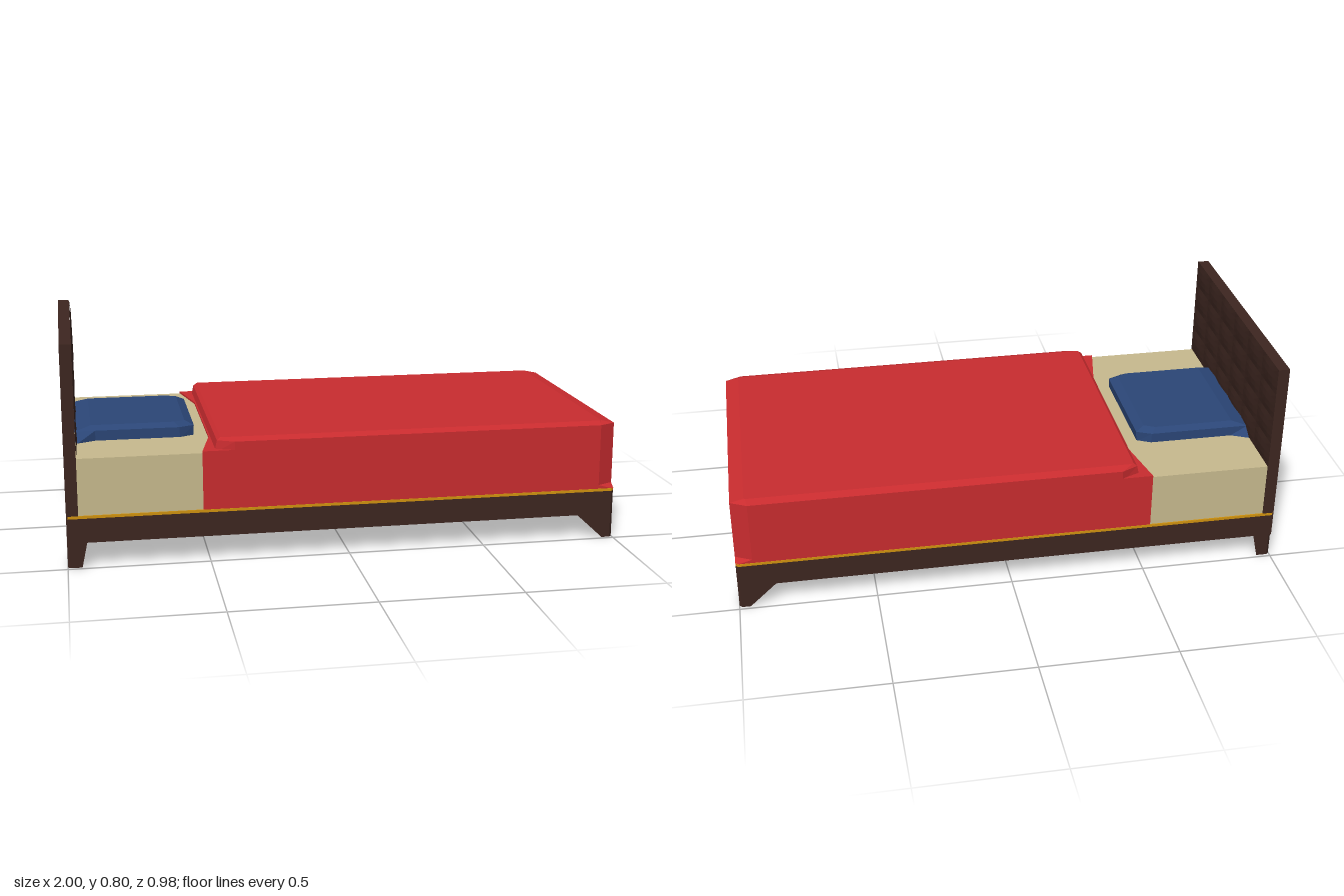
import * as THREE from 'three';

const paint = (color) => new THREE.MeshStandardMaterial({ color, flatShading: true });

// Solid skinned through a stack of closed outlines: [[y, [[x, z], ...]], ...], bottom to top
function loft(name, material, rings) {
  const pos = [];
  const n = rings[0][1].length;
  const pt = (r, i) => { const [x, z] = rings[r][1][i % n]; return [x, rings[r][0], z]; };
  const mid = (r) => {
    const c = rings[r][1].reduce((s, p) => [s[0] + p[0] / n, s[1] + p[1] / n], [0, 0]);
    return [c[0], rings[r][0], c[1]];
  };
  const last = rings.length - 1;
  for (let i = 0; i < n; i++) {
    for (let r = 0; r < last; r++) {
      const a = pt(r, i), b = pt(r, i + 1), c = pt(r + 1, i + 1), d = pt(r + 1, i);
      pos.push(...a, ...b, ...c, ...a, ...c, ...d);
    }
    pos.push(...mid(last), ...pt(last, i), ...pt(last, i + 1));
    pos.push(...mid(0), ...pt(0, i + 1), ...pt(0, i));
  }
  const geo = new THREE.BufferGeometry();
  geo.setAttribute('position', new THREE.Float32BufferAttribute(pos, 3));
  geo.computeVertexNormals();
  const mesh = new THREE.Mesh(geo, material);
  mesh.name = name;
  return mesh;
}

// Rectangle outline with cut corners: f* is the cut at the foot end, h* at the head end
const outline = (x0, x1, w, fx = 0, fz = 0, hx = 0, hz = 0) => [
  [x1 - fx, w], [x1, w - fz], [x1, fz - w], [x1 - fx, -w],
  [x0 + hx, -w], [x0, hz - w], [x0, w - hz], [x0 + hx, w],
];

function box(name, material, x0, x1, y0, y1, w) {
  const mesh = new THREE.Mesh(new THREE.BoxGeometry(x1 - x0, y1 - y0, 2 * w), material);
  mesh.position.set((x0 + x1) / 2, (y0 + y1) / 2, 0);
  mesh.name = name;
  return mesh;
}

// Tapered corner bracket leg, mirrored to any corner
function leg(name, material, sx, sz, top, foot) {
  const ring = (dx, dz) => {
    const pts = [[1 - dx, 0.488], [0.99, 0.488], [1, 0.478], [1, 0.488 - dz]]
      .map(([x, z]) => [x * sx, z * sz]);
    return sx * sz < 0 ? pts.reverse() : pts;
  };
  return loft(name, material, [[0, ring(foot, 0.043)], [0.092, ring(top, 0.12)]]);
}

export function createModel() {
  const bed = new THREE.Group();
  bed.name = 'bed';
  const wood = paint(0x3d2620), gold = paint(0xd0920f), red = paint(0xc92c2f);
  const cream = paint(0xc8ba8e), blue = paint(0x2b4677);

  // Base frame with slightly clipped foot corners, and its trim line
  const frame = outline(-1, 1, 0.488, 0.01, 0.01);
  bed.add(loft('frame', wood, [[0.09, frame], [0.179, frame]]));
  const trim = outline(-0.995, 1, 0.489, 0.01, 0.01);
  bed.add(loft('trim', gold, [[0.178, trim], [0.188, trim]]));

  // Legs: wide at the foot end, narrow under the headboard
  for (const sz of [1, -1]) {
    bed.add(leg('footLeg', wood, 1, sz, 0.14, 0.04));
    bed.add(leg('headLeg', wood, -1, sz, 0.07, 0.05));
  }

  // Headboard with a shallow tufted face
  bed.add(box('headboard', wood, -1, -0.958, 0.09, 0.795, 0.488));
  const tuft = new THREE.PlaneGeometry(0.976, 0.4, 24, 16);
  const p = tuft.attributes.position;
  for (let i = 0; i < p.count; i++) {
    const u = (p.getX(i) + 0.488) / 0.976, v = (p.getY(i) + 0.2) / 0.4;
    p.setZ(i, 0.006 * Math.abs(Math.sin(6 * Math.PI * u) * Math.sin(4 * Math.PI * v)));
  }
  tuft.rotateY(Math.PI / 2);
  tuft.computeVertexNormals();
  const panel = new THREE.Mesh(tuft, wood);
  panel.name = 'tuftedPanel';
  panel.position.set(-0.957, 0.595, 0);
  bed.add(panel);

  // Mattress
  bed.add(box('mattress', cream, -0.958, -0.4, 0.185, 0.393, 0.484));

  // Blanket: draped sides with a slanted head edge, then the raised quilt
  const drape = (fx, fz) => {
    const o = outline(-0.48, 1, 0.487, fx, fz);
    return [...o.slice(0, 4), [-0.522, -0.487], [-0.48, -0.28], [-0.48, 0.28], [-0.522, 0.487]];
  };
  bed.add(loft('blanketDrape', red, [
    [0.186, drape(0.005, 0.005)], [0.202, drape(0.06, 0.03)], [0.4, drape(0.06, 0.03)],
  ]));
  bed.add(loft('blanketTop', red, [
    [0.385, outline(-0.478, 1, 0.487, 0.06, 0.03, 0.07, 0.03)],
    [0.43, outline(-0.468, 1, 0.487, 0.06, 0.03, 0.06, 0.03)],
    [0.441, outline(-0.455, 0.95, 0.458, 0.005, 0.005, 0.005, 0.005)],
  ]));

  // Pillow: flared corners against the headboard, clipped corners at the front
  const pillow = (x0, x1, w, flare, fx, fz) => [
    [x1 - fx, w], [x1, w - fz], [x1, fz - w], [x1 - fx, -w],
    [-0.885, -w], [x0, -w - flare], [x0, w + flare], [-0.885, w],
  ];
  bed.add(loft('pillow', blue, [
    [0.388, pillow(-0.957, -0.53, 0.242, 0.034, 0.05, 0.025)],
    [0.43, pillow(-0.957, -0.527, 0.242, 0.0, 0.055, 0.025)],
    [0.446, pillow(-0.9, -0.56, 0.22, 0, 0.04, 0.02)],
  ]));
  return bed;
}
